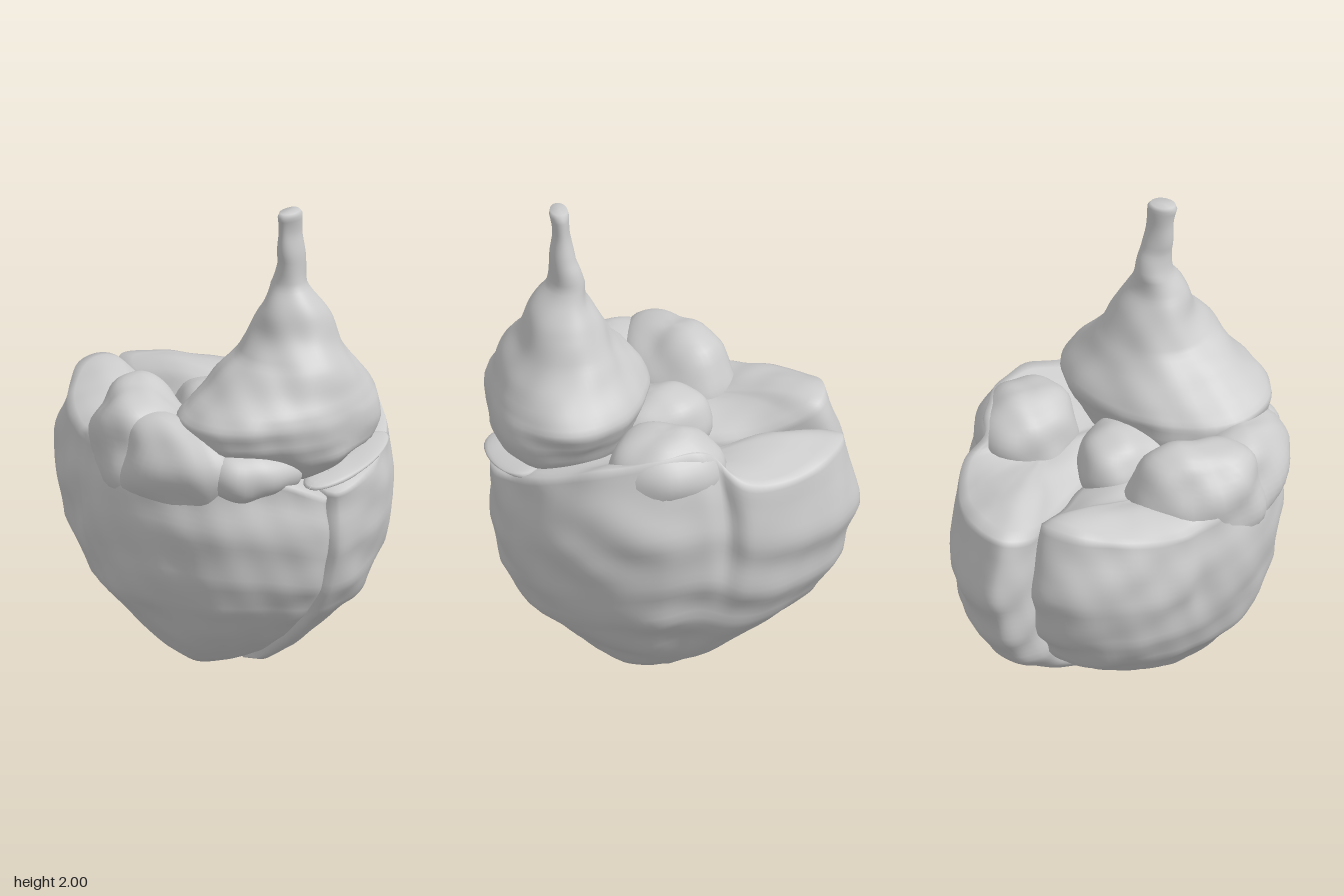
import * as THREE from 'three';

const material = new THREE.MeshStandardMaterial({ color: 0xcccccc, side: THREE.DoubleSide });

// Smooth organic unevenness, depending only on position
function bump(p, amount) {
  const a = Math.sin(p.x * 13 + p.y * 7) * Math.sin(p.z * 12 - p.y * 9);
  const b = Math.sin(p.y * 27 + p.x * 8 - p.z * 6) * 0.5;
  const c = Math.sin(p.x * 31 + 1) * Math.sin(p.z * 29 + p.y * 17) * 0.35;
  return amount * (a + b + c);
}

// Linear lookup in rows of [key, value, value...]
function lookup(rows, key) {
  let i = 0;
  while (i < rows.length - 2 && key > rows[i + 1][0]) i++;
  const t = THREE.MathUtils.clamp((key - rows[i][0]) / (rows[i + 1][0] - rows[i][0]), 0, 1);
  return rows[i].map((v, k) => v + (rows[i + 1][k] - v) * t);
}

// Skin over closed rings (counter-clockwise seen from above, bottom to top)
function loft(name, rings, amount) {
  const n = rings[0].length, index = [];
  const points = rings.flat();
  for (let i = 0; i < rings.length - 1; i++) {
    for (let j = 0; j < n; j++) {
      const a = i * n + j, b = i * n + (j + 1) % n;
      index.push(a, b, a + n, b, b + n, a + n);
    }
  }
  // End caps
  [0, rings.length - 1].forEach((r) => {
    const centre = rings[r].reduce((s, p) => s.add(p), new THREE.Vector3()).divideScalar(n);
    const c = points.push(centre) - 1;
    for (let j = 0; j < n; j++) {
      const a = r * n + j, b = r * n + (j + 1) % n;
      if (r === 0) index.push(b, a, c); else index.push(a, b, c);
    }
  });
  const geometry = new THREE.BufferGeometry().setFromPoints(points);
  geometry.setIndex(index);
  return finish(name, geometry, amount);
}

// Push vertices along their normals by the unevenness rule
function finish(name, geometry, amount) {
  geometry.computeVertexNormals();
  const pos = geometry.attributes.position, nor = geometry.attributes.normal;
  const p = new THREE.Vector3(), d = new THREE.Vector3();
  for (let i = 0; i < pos.count; i++) {
    p.fromBufferAttribute(pos, i);
    d.fromBufferAttribute(nor, i);
    p.addScaledVector(d, bump(p, amount));
    pos.setXYZ(i, p.x, Math.min(2, Math.max(0, p.y)), p.z);
  }
  geometry.computeVertexNormals();
  const mesh = new THREE.Mesh(geometry, material);
  mesh.name = name;
  return mesh;
}

// Width of a chamber at each fraction of its height
const swell = [[0, 0.1], [0.03, 0.3], [0.09, 0.43], [0.2, 0.62], [0.35, 0.83],
  [0.5, 0.93], [0.7, 0.99], [0.85, 1], [1, 0.99]];

// Chamber: outline points are [x, z, rim height], shrinking down to a tip
function chamber(name, outline, tip, base, crown, notchZ, notchDepth) {
  const curve = new THREE.CatmullRomCurve3(
    outline.map(([x, z, h]) => new THREE.Vector3(x, h, z)), true, 'centripetal');
  const rim = curve.getPoints(110).slice(0, -1);
  const rings = [];
  for (let i = 0; i <= 34; i++) {
    const f = i / 34, s = lookup(swell, f)[1];
    // Groove on the outer wall, fading out below mid height
    const depth = notchDepth * THREE.MathUtils.smoothstep(f, 0.35, 0.75);
    rings.push(rim.map((p) => {
      const g = Math.abs(p.x) > 0.3 ? 1 - depth * Math.exp(-(((p.z - notchZ) / 0.05) ** 2)) : 1;
      // Higher parts of the rim lean further inward
      const lean = 1 - 0.65 * Math.max(0, p.y - 0.92) * THREE.MathUtils.smoothstep(f, 0.7, 1.05);
      return new THREE.Vector3(
        tip[0] + (p.x - tip[0]) * Math.pow(s, 0.85) * g * lean,
        base + (p.y - base) * f,
        tip[1] + (p.z - tip[1]) * Math.pow(s, 1.2) * lean);
    }));
  }
  // Domed top
  const top = rings[34];
  for (let k = 1; k <= 9; k++) {
    const t = k / 10;
    rings.push(top.map((p) => new THREE.Vector3(
      p.x + (crown[0] - p.x) * t,
      p.y + (crown[1] - p.y) * t + 0.035 * Math.sin(Math.PI * t),
      p.z + (crown[2] - p.z) * t)));
  }
  return loft(name, rings, 0.008);
}

// Rounded lump
function lobe(name, centre, radii, turn = 0) {
  const rings = [];
  for (let i = 1; i < 24; i++) {
    const v = Math.PI * i / 24, ring = [];
    for (let j = 0; j < 40; j++) {
      const a = j / 40 * Math.PI * 2;
      const r = Math.pow(Math.sin(v), 0.8);
      ring.push(new THREE.Vector3(Math.cos(a) * r * radii[0], -Math.cos(v) * radii[1], -Math.sin(a) * r * radii[2])
        .applyAxisAngle(new THREE.Vector3(0, 1, 0), turn)
        .add(new THREE.Vector3(...centre)));
    }
    rings.push(ring);
  }
  return loft(name, rings, 0.016);
}

export function createModel() {
  const model = new THREE.Group();
  model.name = 'heart';

  // Two lower chambers meeting at a slanting groove
  model.add(chamber('leftChamber', [
    [-0.1, 0.67, 0.87], [0.1, 0.7, 0.92], [0.34, 0.63, 1.0], [0.55, 0.43, 1.1],
    [0.65, 0.14, 1.16], [0.63, -0.08, 1.16], [0.61, -0.25, 1.02],
    [0.55, -0.47, 1.0], [0.41, -0.67, 1.02], [0.29, -0.74, 1.03], [0.19, -0.64, 1.0],
    [0.13, -0.2, 0.93], [0.02, 0.2, 0.95],
  ], [0.03, 0.1], 0, [0.3, 1.0, 0.0], -0.15, 0.08));
  model.add(chamber('rightChamber', [
    [-0.12, 0.65, 0.85], [0.0, 0.2, 0.95], [0.11, -0.2, 0.95], [0.16, -0.55, 1.03],
    [0.14, -0.7, 1.09], [-0.02, -0.74, 1.09], [-0.25, -0.63, 1.05], [-0.42, -0.43, 1.0],
    [-0.5, -0.32, 1.0], [-0.6, -0.14, 1.06], [-0.63, 0.15, 1.08], [-0.54, 0.42, 1.04], [-0.32, 0.6, 0.95],
  ], [-0.07, 0.1], 0.04, [-0.15, 1.02, -0.25], -0.35, 0.05));

  // Upper lobes around the vessel
  model.add(lobe('rightUpperLobe', [-0.35, 0.99, -0.11], [0.28, 0.25, 0.2], 0.5));
  model.add(lobe('rightSideLobe', [-0.48, 0.98, 0.14], [0.16, 0.2, 0.28], -0.1));
  model.add(lobe('rightFrontLobe', [-0.35, 0.97, 0.42], [0.2, 0.12, 0.16], -0.6));
  model.add(lobe('leftUpperLobe', [0.41, 1.0, 0.08], [0.2, 0.21, 0.24], 0.15));
  model.add(lobe('middleLobe', [0.0, 1.02, 0.03], [0.17, 0.13, 0.22]));

  // Great vessel: rows of [y, xMin, xMax, zMin, zMax]
  const vessel = [
    [0.94, -0.3, 0.2, 0.15, 0.6], [1.02, -0.4, 0.28, 0.08, 0.69], [1.1, -0.5, 0.33, 0.05, 0.7],
    [1.18, -0.52, 0.35, 0.04, 0.7], [1.24, -0.46, 0.31, 0.08, 0.69], [1.32, -0.36, 0.25, 0.14, 0.66],
    [1.4, -0.26, 0.19, 0.19, 0.62], [1.5, -0.2, 0.13, 0.24, 0.57], [1.6, -0.15, 0.09, 0.29, 0.51],
    [1.68, -0.12, 0.05, 0.3, 0.47], [1.78, -0.1, 0.025, 0.35, 0.455], [1.9, -0.11, 0.01, 0.365, 0.445],
    [1.985, -0.12, 0.0, 0.37, 0.45], [2, -0.11, -0.01, 0.375, 0.445],
  ];
  const rings = [];
  for (let i = 0; i <= 60; i++) {
    const [y, x0, x1, z0, z1] = lookup(vessel, 0.94 + 1.06 * i / 60);
    // The base is skewed: fuller at its left front, flatter at its right front
    const skew = 0.1 * (1 - THREE.MathUtils.smoothstep(y, 1.1, 1.4));
    const ring = [];
    for (let j = 0; j < 64; j++) {
      const a = j / 64 * Math.PI * 2;
      const r = 1 - skew * Math.sin(2 * a);
      ring.push(new THREE.Vector3(
        (x0 + x1) / 2 + Math.cos(a) * r * (x1 - x0) / 2, y,
        Math.min((z0 + z1) / 2 - Math.sin(a) * r * (z1 - z0) / 2, 0.7)));
    }
    rings.push(ring);
  }
  model.add(loft('greatVessel', rings, 0.011));

  // Thin torn flap under the vessel, at the front
  const flap = new THREE.SphereGeometry(1, 32, 12);
  flap.scale(0.25, 0.02, 0.1).rotateZ(0.17).translate(0.04, 0.95, 0.62);
  model.add(finish('frontFlap', flap, 0.004));

  return model;
}
